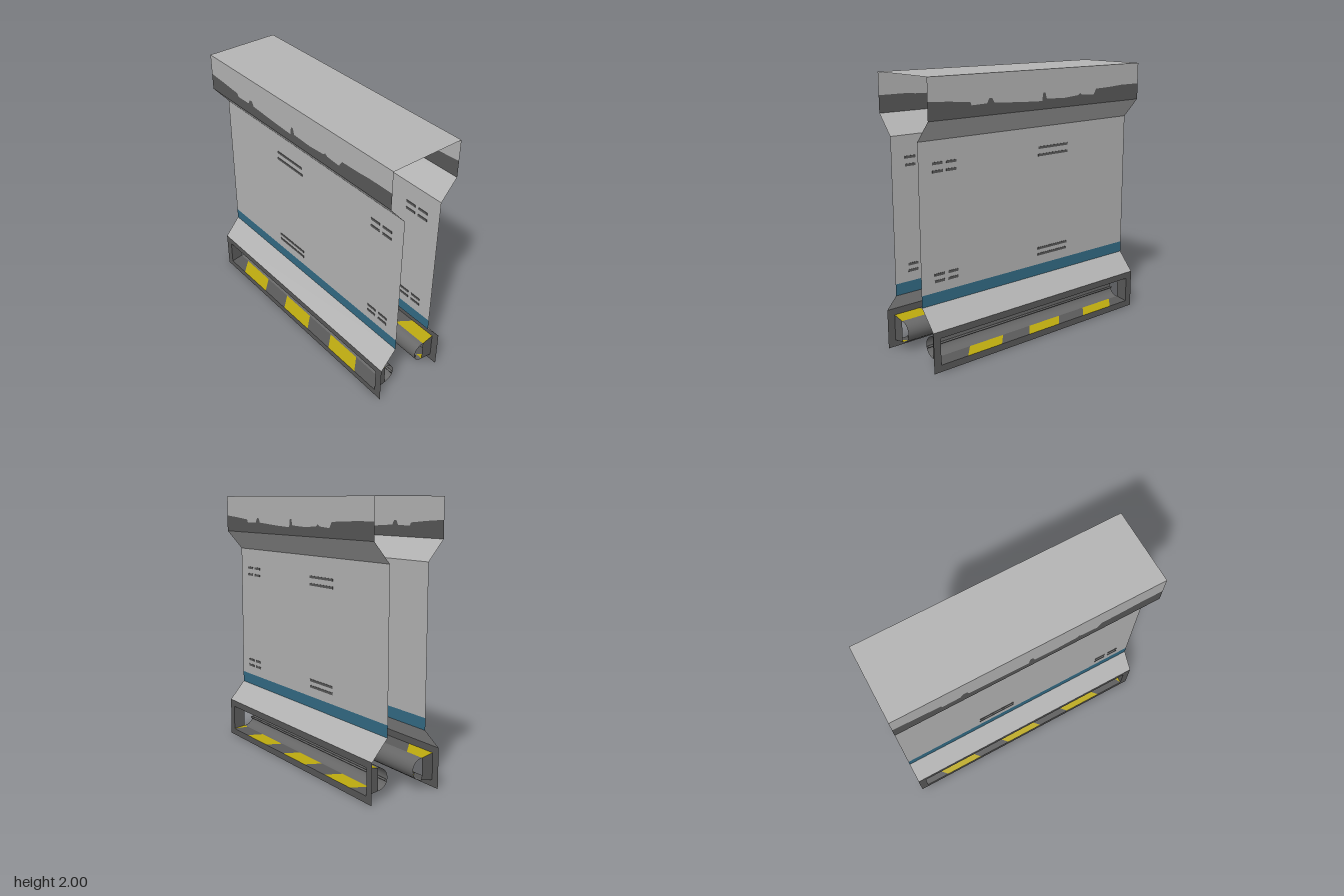
import * as THREE from 'three';

const paint = (name, color) => {
  const m = new THREE.MeshStandardMaterial({ color, side: THREE.DoubleSide });
  m.name = name;
  return m;
};

export function createModel() {
  const light = paint('light grey panel', 0xb4b4b4);
  const dark = paint('dark grey trim', 0x585858);
  const steel = paint('recess steel', 0x686868);
  const blue = paint('blue stripe', 0x336b85);
  const yellow = paint('hazard yellow', 0xb8a60e);

  const model = new THREE.Group();
  model.name = 'wallSegment';

  const OUT = 0.285, WALL = 0.16, IN = 0.19, END = 0.94;

  const add = (parent, name, geometry, material) => {
    const mesh = new THREE.Mesh(geometry, material);
    mesh.name = name;
    parent.add(mesh);
    return mesh;
  };

  // Sheet from rows of two points each, smooth along the rows
  const sheet = (rows) => {
    const g = new THREE.BufferGeometry();
    g.setAttribute('position', new THREE.Float32BufferAttribute(rows.flat(2), 3));
    const index = [];
    for (let i = 0; i < rows.length - 1; i++) {
      const a = 2 * i;
      index.push(a, a + 2, a + 1, a + 1, a + 2, a + 3);
    }
    g.setIndex(index);
    g.computeVertexNormals();
    return g;
  };

  // Sheet spanning x from -w to w along a (z, y) profile
  const strip = (profile, s, w = 1) =>
    sheet(profile.map(([z, y]) => [[-w, y, s * z], [w, y, s * z]]));

  // Worn edge between the light top and the dark band
  const wornEdge = [
    [-1, 1.845], [-0.84, 1.835], [-0.66, 1.82], [-0.65, 1.797], [-0.52, 1.8], [-0.5, 1.833],
    [-0.475, 1.833], [-0.455, 1.8], [-0.2, 1.785], [-0.02, 1.778], [-0.01, 1.837], [0.01, 1.837],
    [0.025, 1.792], [0.2, 1.785], [0.34, 1.795], [0.36, 1.81], [0.38, 1.795], [0.5, 1.787],
    [0.53, 1.83], [0.7, 1.835], [0.8, 1.842], [1, 1.842],
  ];

  // Alternating slanted hazard stripes between an inner and an outer edge
  const hazard = (parent, name, s, yIn, yOut, start) => {
    const period = 0.575, width = 0.31, slant = 0.09;
    const clamp = (x) => Math.max(-END, Math.min(END, x));
    for (let k = -1; k < 5; k++) {
      const a = start + k * period;
      [[a, a + width, yellow], [a + width, a + period, dark]].forEach(([p, q, mat]) => {
        const i0 = clamp(p), i1 = clamp(q), o0 = clamp(p + slant), o1 = clamp(q + slant);
        if (i1 - i0 + o1 - o0 < 0.001) return;
        add(parent, name, sheet([
          [[i0, yIn, s * IN], [i1, yIn, s * IN]],
          [[o0, yOut, s * OUT], [o1, yOut, s * OUT]],
        ]), mat);
      });
    }
  };

  const face = (s) => {
    const g = new THREE.Group();
    g.name = s > 0 ? 'frontFace' : 'backFace';
    model.add(g);

    // Upper fascia with its worn dark band, turned half round on the back
    const edge = wornEdge.map(([x, y]) => [s * x, y]);
    const toEdge = (y0) => sheet(edge.map(([x, y]) => [[x, y, s * OUT], [x, y0, s * OUT]]));
    add(g, 'upperFascia', toEdge(2), light);
    add(g, 'darkBand', toEdge(1.72), dark);

    // Sloped and flat panels
    add(g, 'upperSlope', strip([[OUT, 1.72], [WALL, 1.575]], s), light);
    add(g, 'wallPanel', strip([[WALL, 1.575], [WALL, 0.525]], s), light);
    add(g, 'blueStripe', strip([[WALL, 0.525], [WALL, 0.44]], s), blue);
    add(g, 'lowerSlope', strip([[WALL, 0.44], [OUT, 0.295]], s), light);

    // Vent slots
    for (const y of [1.42, 1.365, 0.65, 0.603]) {
      for (const [x0, x1] of [[-0.36, -0.06], [0.69, 0.775], [0.805, 0.89]]) {
        const slot = add(g, 'ventSlot', new THREE.BoxGeometry(x1 - x0, 0.018, 0.006), dark);
        slot.position.set((x0 + x1) / 2, y, s * WALL);
      }
    }

    // Base frame with its opening
    const frame = new THREE.Shape([[-1, 0], [1, 0], [1, 0.295], [-1, 0.295]]
      .map(([x, y]) => new THREE.Vector2(x, y)));
    frame.holes.push(new THREE.Path([[-END, 0.05], [-END, 0.245], [END, 0.245], [END, 0.05]]
      .map(([x, y]) => new THREE.Vector2(x, y))));
    add(g, 'baseFrame', new THREE.ShapeGeometry(frame), dark).position.z = s * OUT;

    // Recess: striped floor and ceiling, end plates, curved back and a rod
    hazard(g, 'recessFloor', s, 0.065, 0.05, -0.84);
    hazard(g, 'recessCeiling', s, 0.225, 0.245, -0.51);
    for (const x of [-END, END]) {
      add(g, 'recessEnd', sheet([
        [[x, 0.05, s * OUT], [x, 0.245, s * OUT]],
        [[x, 0.065, s * IN], [x, 0.225, s * IN]],
      ]), dark);
    }
    const arc = [];
    for (let i = 0; i <= 12; i++) {
      const a = (i / 12) * Math.PI;
      arc.push([IN - 0.08 * Math.sin(a), 0.145 + 0.08 * Math.cos(a)]);
    }
    add(g, 'recessBack', strip(arc, s, END), steel);
    const rod = add(g, 'recessRod', new THREE.CylinderGeometry(0.008, 0.008, 2 * END, 10, 1, true), steel);
    rod.rotation.z = Math.PI / 2;
    rod.position.set(0, 0.128, s * 0.122);
  };

  face(1);
  face(-1);

  // Top cap
  add(model, 'topCap', strip([[-OUT, 2], [OUT, 2]], 1), light);
  return model;
}
